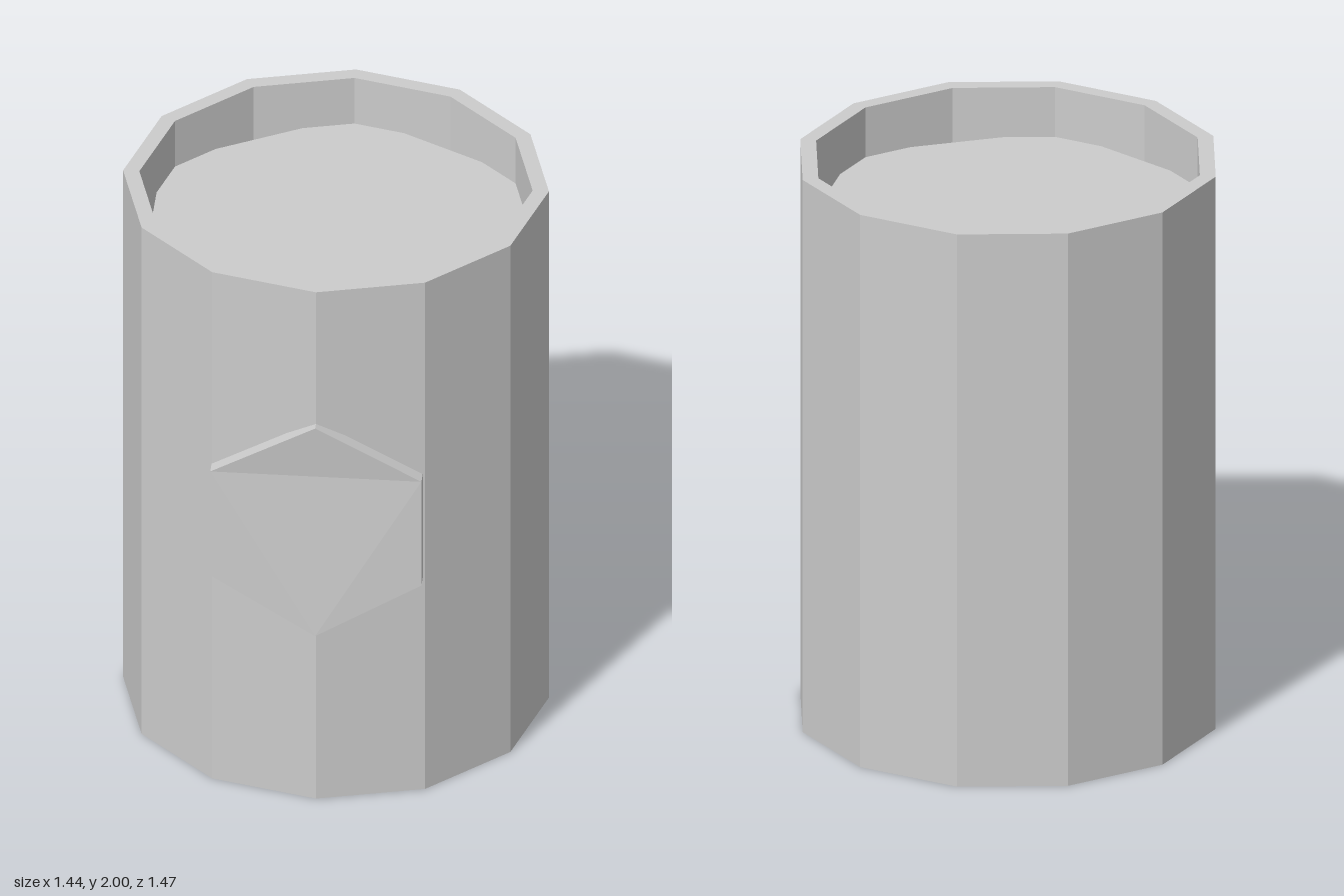
import * as THREE from 'three';

const RADIUS = 0.72, INNER = 0.665, HEIGHT = 2, CENTER_Z = -0.015;

// Folded hexagonal plate: tips stand forward of the side corners
function plateGeometry() {
  const outline = [
    [0, 1.48, 0.735], [-0.357, 1.275, 0.71], [-0.357, 0.865, 0.71],
    [0, 0.66, 0.735], [0.357, 0.865, 0.71], [0.357, 1.275, 0.71],
  ];
  const depth = 0.05;
  const positions = [...outline, ...outline.map(([x, y, z]) => [x, y, z - depth])].flat();
  const face = [[0, 1, 5], [1, 3, 5], [1, 2, 3], [3, 4, 5]];
  const index = [];
  for (const [a, b, c] of face) index.push(a, b, c, a + 6, c + 6, b + 6);
  for (let i = 0; i < 6; i++) {
    const j = (i + 1) % 6;
    index.push(i, i + 6, j, j, i + 6, j + 6);
  }
  const geometry = new THREE.BufferGeometry();
  geometry.setAttribute('position', new THREE.Float32BufferAttribute(positions, 3));
  geometry.setIndex(index);
  const flat = geometry.toNonIndexed();
  flat.computeVertexNormals();
  return flat;
}

export function createModel() {
  const group = new THREE.Group();
  const material = new THREE.MeshStandardMaterial({ color: 0xcccccc, flatShading: true });
  const add = (name, geometry, mat = material) => {
    const mesh = new THREE.Mesh(geometry, mat);
    mesh.name = name;
    group.add(mesh);
    return mesh;
  };

  // Twelve-sided hollow cup with a floor
  const profile = [
    [0, 0], [RADIUS, 0], [RADIUS, HEIGHT], [INNER, HEIGHT], [INNER, 0.06], [0, 0.06],
  ].map(([x, y]) => new THREE.Vector2(x, y));
  add('cup', new THREE.LatheGeometry(profile, 12)).position.z = CENTER_Z;

  // Six-sided liquid surface, its corners sunk into the wall
  const liquidMaterial = material.clone();
  liquidMaterial.side = THREE.DoubleSide;
  const liquid = add('liquid', new THREE.CircleGeometry(0.718, 6, Math.PI / 2), liquidMaterial);
  liquid.rotation.x = -Math.PI / 2;
  liquid.position.set(0, 1.82, CENTER_Z);

  // Plate on the front
  add('frontPlate', plateGeometry());

  return group;
}
